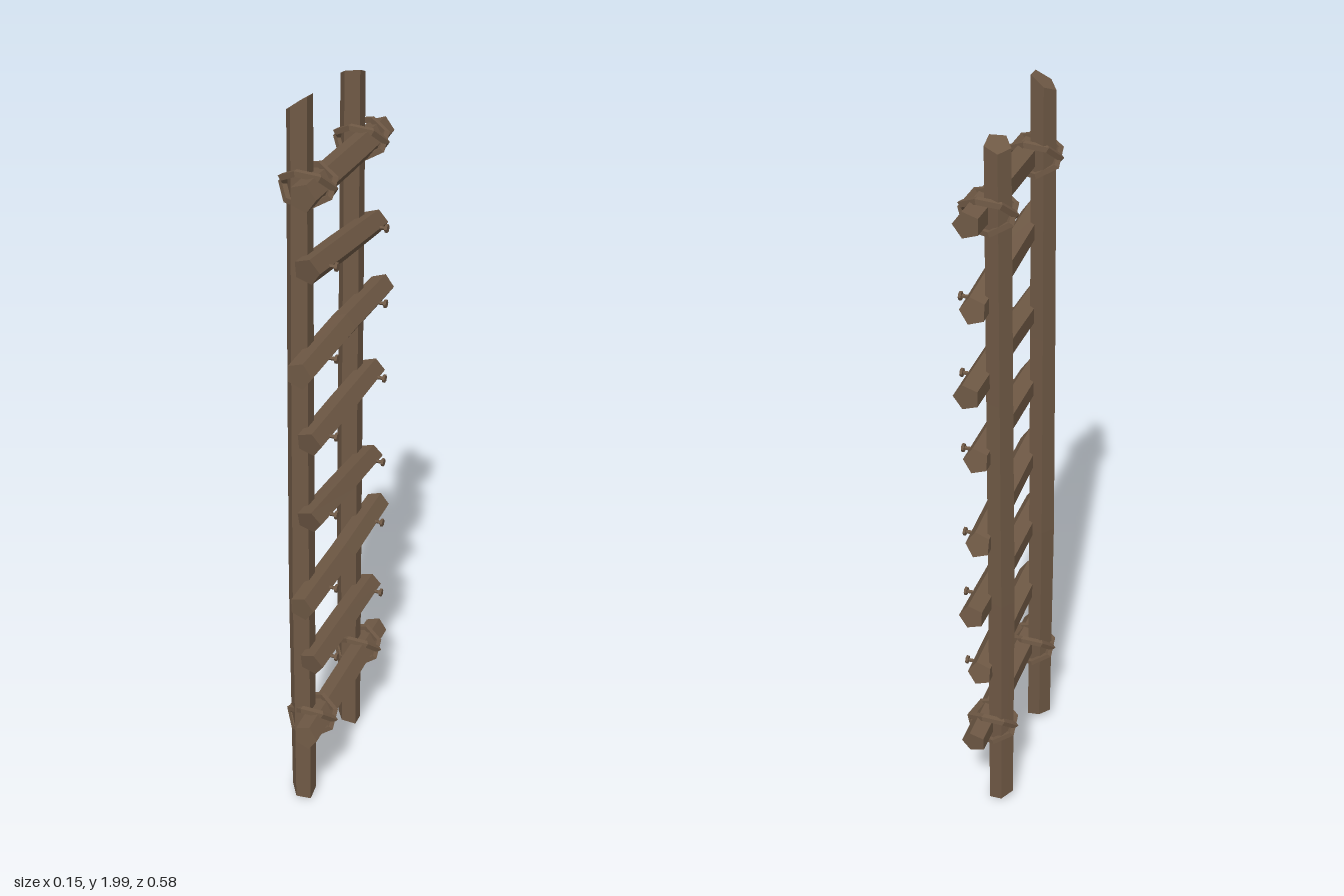
import * as THREE from 'three';

const SIDES = 5;

// Loft a five-sided pole through stations { c: [x, y, z], r, slant: [u, v] }.
// The cross-section lies in the x-y plane (along 'z') or the x-z plane (along 'y');
// slant shears the cut end along the pole's length.
function poleGeometry(stations, along, phase) {
  const pos = [], idx = [];
  const rings = stations.map(({ c, r, slant = [0, 0] }) => {
    const ring = [];
    for (let j = 0; j < SIDES; j++) {
      const a = phase + (j / SIDES) * Math.PI * 2;
      const u = r * Math.cos(a), v = r * Math.sin(a);
      const s = u * slant[0] + v * slant[1];
      ring.push(along === 'z' ? [c[0] + u, c[1] + v, c[2] + s] : [c[0] + u, c[1] + s, c[2] + v]);
    }
    return ring;
  });
  rings.forEach(ring => ring.forEach(p => pos.push(...p)));
  const last = rings.length - 1;
  pos.push(...stations[0].c, ...stations[last].c);
  const c0 = rings.length * SIDES, c1 = c0 + 1;
  for (let j = 0; j < SIDES; j++) {
    const k = (j + 1) % SIDES;
    for (let i = 0; i < last; i++) {
      const a = i * SIDES, b = a + SIDES;
      idx.push(a + j, a + k, b + k, a + j, b + k, b + j);
    }
    idx.push(c0, k, j, c1, last * SIDES + j, last * SIDES + k);
  }
  const g = new THREE.BufferGeometry();
  g.setAttribute('position', new THREE.Float32BufferAttribute(pos, 3));
  g.setIndex(idx);
  const flat = g.toNonIndexed();
  flat.computeVertexNormals();
  return flat;
}

export function createModel() {
  const model = new THREE.Group();
  model.name = 'woodenLadder';
  const wood = new THREE.MeshStandardMaterial({ color: 0x6f5945, flatShading: true });
  wood.name = 'brown wood';

  const add = (name, geometry, parent = model) => {
    const mesh = new THREE.Mesh(geometry, wood);
    mesh.name = name;
    parent.add(mesh);
    return mesh;
  };

  // Two upright rails, listed from top to bottom, with crooked sawn ends
  add('frontRail', poleGeometry([
    { c: [-0.022, 1.98, 0.165], r: 0.032, slant: [0.65, 0] },
    { c: [-0.025, 1.3, 0.17], r: 0.034 },
    { c: [-0.027, 0.7, 0.172], r: 0.036 },
    { c: [-0.023, 0.02, 0.18], r: 0.034, slant: [-0.3, -0.3] },
  ], 'y', Math.PI));
  add('backRail', poleGeometry([
    { c: [-0.024, 1.955, -0.181], r: 0.032, slant: [0.2, 0.35] },
    { c: [-0.025, 1.3, -0.178], r: 0.034 },
    { c: [-0.027, 0.7, -0.178], r: 0.036 },
    { c: [-0.023, 0.015, -0.175], r: 0.034, slant: [-0.35, 0] },
  ], 'y', Math.PI));

  // Rungs: [back z, back y, front z, front y, middle bow, end slant, nailed]
  const rungs = [
    [-0.278, 0.276, 0.273, 0.28, 0, -0.1, false],
    [-0.222, 0.472, 0.228, 0.49, 0, 0.2, true],
    [-0.28, 0.705, 0.29, 0.705, -0.007, 0.1, true],
    [-0.222, 0.892, 0.235, 0.932, 0, 0.3, true],
    [-0.228, 1.148, 0.23, 1.15, 0, 0.2, true],
    [-0.289, 1.362, 0.289, 1.362, 0.006, 0, true],
    [-0.235, 1.562, 0.235, 1.605, 0, 0.2, true],
    [-0.27, 1.792, 0.257, 1.79, 0, 0, false],
  ];
  const railZ = [0.171, -0.178];

  rungs.forEach(([z0, y0, z1, y1, bow, slant, nailed], n) => {
    const mid = (y0 + y1) / 2 + bow;
    add(`rung${n + 1}`, poleGeometry([
      { c: [0.02, y0, z0], r: 0.034, slant: [0, slant] },
      { c: [0.02, mid, (z0 + z1) / 2], r: 0.036 },
      { c: [0.02, y1, z1], r: 0.035, slant: [0.1, slant] },
    ], 'z', 0));

    railZ.forEach((z, side) => {
      const y = y0 + (y1 - y0) * (z - z0) / (z1 - z0);
      const joint = new THREE.Group();
      joint.name = `${nailed ? 'nail' : 'lashing'}${n + 1}${side ? 'Back' : 'Front'}`;
      joint.position.set(0, y, z);
      model.add(joint);
      if (nailed) {
        // Peg with a wider head standing proud of the rung
        const peg = add('nailShaft', new THREE.CylinderGeometry(0.005, 0.005, 0.05, 5), joint);
        peg.rotation.z = -Math.PI / 2;
        peg.position.x = 0.045;
        const head = add('nailHead', new THREE.CylinderGeometry(0.011, 0.011, 0.007, 6), joint);
        head.rotation.z = -Math.PI / 2;
        head.position.x = 0.07;
      } else {
        // Two crossed rope loops around rail and rung
        [-1, 1].forEach(s => {
          const loop = new THREE.TorusGeometry(0.06, 0.01, 4, 7);
          loop.rotateZ(s > 0 ? 0 : Math.PI);
          loop.scale(1.06, 0.93, 1);
          loop.rotateX(s * Math.PI / 4);
          add('ropeLoop', loop, joint);
        });
      }
    });
  });

  return model;
}
